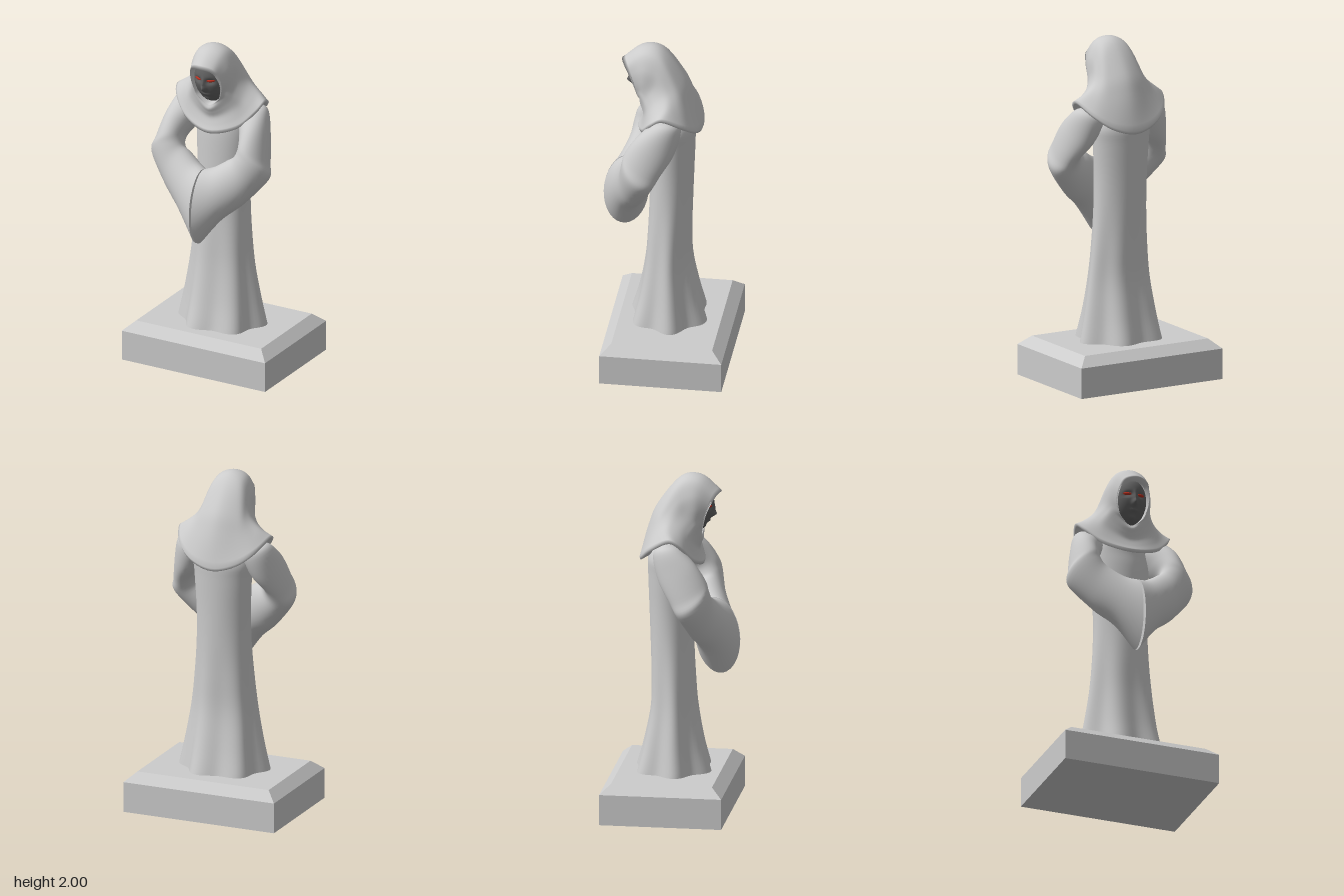
import * as THREE from 'three';

const V = (x, y, z) => new THREE.Vector3(x, y, z);
const grey = new THREE.MeshStandardMaterial({ color: 0xcccccc, side: THREE.DoubleSide });
const dark = new THREE.MeshStandardMaterial({ color: 0x626262 });
const red = new THREE.MeshStandardMaterial({ color: 0xb83020 });

function add(parent, name, geometry, material = grey) {
  const mesh = new THREE.Mesh(geometry, material);
  mesh.name = name;
  parent.add(mesh);
  return mesh;
}

// Resample a list of rings along their length with splines
function smoothAlong(rings, steps) {
  const curves = rings[0].map((_, j) => new THREE.CatmullRomCurve3(rings.map(r => r[j]), false, 'catmullrom'));
  return Array.from({ length: steps + 1 }, (_, i) => curves.map(c => c.getPoint(i / steps)));
}

// Resample each closed ring around its loop
function smoothAround(rings, steps) {
  return rings.map(r => {
    const c = new THREE.CatmullRomCurve3(r, true, 'catmullrom');
    return Array.from({ length: steps }, (_, j) => c.getPoint(j / steps));
  });
}

// Skin closed rings with smooth normals
function loft(rings, flip = false) {
  const n = rings[0].length, index = [];
  for (let i = 0; i < rings.length - 1; i++) {
    for (let j = 0; j < n; j++) {
      const k = (j + 1) % n;
      const a = i * n + j, b = i * n + k, c = b + n, d = a + n;
      if (flip) index.push(a, c, b, a, d, c);
      else index.push(a, b, c, a, c, d);
    }
  }
  const g = new THREE.BufferGeometry().setFromPoints(rings.flat());
  g.setIndex(index);
  g.computeVertexNormals();
  return g;
}

// Plinth: block with a chamfered top
function plinth(group) {
  const base = new THREE.BoxGeometry(0.95, 0.18, 0.71).translate(0, 0.09, 0);
  const top = new THREE.BoxGeometry(0.95, 0.055, 0.71).translate(0, 0.2075, 0);
  const p = top.attributes.position;
  for (let i = 0; i < p.count; i++) {
    if (p.getY(i) > 0.2) p.setXYZ(i, p.getX(i) * 0.872, 0.235, p.getZ(i) * 0.826);
  }
  top.computeVertexNormals();
  add(group, 'plinthBlock', base).position.z = -0.025;
  add(group, 'plinthChamfer', top).position.z = -0.025;
}

// Robe: [height, half width, half depth, centre z, fold strength]
function robe() {
  const rows = [
    [0.23, 0.252, 0.218, -0.012, 0.09], [0.4, 0.223, 0.175, -0.012, 0.07],
    [0.6, 0.194, 0.14, -0.01, 0.05], [0.8, 0.175, 0.13, -0.015, 0.03],
    [1.0, 0.163, 0.126, -0.022, 0.01], [1.2, 0.162, 0.126, -0.028, 0],
    [1.4, 0.172, 0.126, -0.035, 0], [1.5, 0.175, 0.12, -0.04, 0],
    [1.58, 0.14, 0.1, -0.02, 0], [1.66, 0.08, 0.07, 0.01, 0],
  ];
  const rings = rows.map(([y, rx, rz, cz, fold]) => Array.from({ length: 72 }, (_, j) => {
    const a = j / 72 * Math.PI * 2;
    const k = 1 + fold * Math.cos(6 * (a - 2.79));
    return V(rx * k * Math.sin(a), y, cz + rz * k * Math.cos(a));
  }));
  return loft(smoothAlong(rings, 40));
}

// Sleeve: oval sections given by a centre and two half axes
function sleeve(side) {
  const sections = [
    [V(0.17, 1.6, -0.02), V(0.05, 0.02, 0), V(0, 0, 0.05)],
    [V(0.2, 1.56, -0.015), V(0.085, 0.035, 0), V(0, 0.015, 0.09)],
    [V(0.243, 1.46, 0.04), V(0.084, 0.02, 0), V(0, 0.05, 0.11)],
    [V(0.275, 1.36, 0.105), V(0.086, -0.025, 0.005), V(-0.01, 0.06, 0.105)],
    [V(0.275, 1.29, 0.135), V(0.1, -0.05, 0), V(0.0, 0.06, 0.095)],
    [V(0.19, 1.195, 0.165), V(0.055, -0.125, 0), V(0.035, 0.03, 0.09)],
    [V(0.09, 1.115, 0.205), V(0.025, -0.155, -0.01), V(0.03, -0.02, 0.105)],
    [V(0.004, 1.03, 0.24), V(0, -0.215, -0.02), V(0.003, -0.06, 0.13)],
  ];
  const rings = sections.map(([c, u, v]) => Array.from({ length: 32 }, (_, j) => {
    const a = j / 32 * Math.PI * 2;
    return c.clone().addScaledVector(u, Math.cos(a)).addScaledVector(v, Math.sin(a));
  }));
  const skin = smoothAlong(rings, 42);
  // close the cuff with a flat end
  skin.push(skin.at(-1).map(p => p.clone()));
  skin.push(skin.at(-1).map(() => V(0.005, 1.03, 0.24)));
  skin.forEach(r => r.forEach(p => { p.x *= side; }));
  return loft(skin, side < 0);
}

// Hood and cowl: half columns, each running from the face opening to the hem
function hood() {
  const columns = [
    [[0, 1.895, 0.265], [0, 1.985, 0.15], [0, 1.975, 0.03], [0, 1.82, -0.1], [0, 1.69, -0.157], [0, 1.49, -0.21]],
    [[0.065, 1.88, 0.243], [0.075, 1.963, 0.138], [0.085, 1.94, 0.025], [0.11, 1.795, -0.075], [0.125, 1.68, -0.127], [0.14, 1.525, -0.187]],
    [[0.088, 1.835, 0.215], [0.117, 1.89, 0.13], [0.127, 1.865, 0.04], [0.15, 1.775, -0.035], [0.195, 1.69, -0.08], [0.24, 1.595, -0.122]],
    [[0.095, 1.78, 0.19], [0.128, 1.815, 0.13], [0.14, 1.79, 0.06], [0.175, 1.742, 0.01], [0.23, 1.7, -0.015], [0.288, 1.66, -0.005]],
    [[0.087, 1.73, 0.175], [0.118, 1.75, 0.14], [0.142, 1.725, 0.1], [0.178, 1.69, 0.07], [0.222, 1.65, 0.063], [0.262, 1.61, 0.07]],
    [[0.065, 1.68, 0.163], [0.097, 1.69, 0.147], [0.125, 1.66, 0.124], [0.145, 1.62, 0.112], [0.158, 1.565, 0.118], [0.165, 1.52, 0.13]],
    [[0, 1.635, 0.15], [0, 1.612, 0.16], [0, 1.585, 0.15], [0, 1.55, 0.14], [0, 1.51, 0.152], [0, 1.478, 0.168]],
  ];
  const rings = columns[0].map((_, i) => {
    const half = columns.map(c => V(...c[i]));
    const mirrored = half.slice(1, -1).reverse().map(p => V(-p.x, p.y, p.z));
    return [...half, ...mirrored];
  });
  const skin = smoothAround(smoothAlong(rings, 28), 72);
  // thickness at the opening and a turned-under hem
  skin.unshift(skin[0].map(p => V(p.x * 0.9, 1.77 + (p.y - 1.77) * 0.93, p.z - 0.05)));
  const hem = skin.at(-1);
  skin.push(hem.map(p => V(p.x * 0.97, p.y - 0.018, p.z * 0.97)));
  skin.push(hem.map(p => V(p.x * 0.72, p.y + 0.01, p.z * 0.7)));
  return loft(skin);
}

// Depth of the face surface, with nose, eye sockets, lips and chin
function faceZ(x, y) {
  const g = (cx, cy, w, h) => Math.exp(-(((x - cx) / w) ** 2) - (((y - cy) / h) ** 2));
  const round = Math.sqrt(Math.max(0, 1 - (x / 0.1) ** 2 - ((y - 1.78) / 0.14) ** 2));
  const nose = 0.012 * g(0, 1.79, 0.012, 0.03) + 0.024 * g(0, 1.755, 0.015, 0.018);
  const sockets = 0.014 * (g(0.04, 1.805, 0.026, 0.016) + g(-0.04, 1.805, 0.026, 0.016));
  const mouth = 0.009 * g(0, 1.715, 0.025, 0.008) + 0.01 * g(0, 1.675, 0.025, 0.014);
  return 0.115 + 0.1 * round + 0.22 * (y - 1.78) + nose - sockets + mouth;
}

function head(group) {
  const g = new THREE.SphereGeometry(1, 64, 64).rotateX(Math.PI / 2).scale(0.1, 0.14, 0.1).translate(0, 1.78, 0.115);
  const p = g.attributes.position;
  for (let i = 0; i < p.count; i++) {
    const x = p.getX(i), y = p.getY(i), z = p.getZ(i);
    p.setZ(i, z > 0.115 ? faceZ(x, y) : z + 0.22 * (y - 1.78));
  }
  g.computeVertexNormals();
  add(group, 'face', g, dark);
  for (const side of [1, -1]) {
    const eye = add(group, side > 0 ? 'leftEye' : 'rightEye', new THREE.SphereGeometry(1, 20, 12), red);
    eye.scale.set(0.027, 0.009, 0.011);
    eye.position.set(side * 0.041, 1.81, faceZ(0.041, 1.81));
    eye.rotation.set(0, side * 0.45, side * 0.08);
  }
}

export function createModel() {
  const group = new THREE.Group();
  group.name = 'hoodedStatue';
  plinth(group);
  add(group, 'robe', robe());
  add(group, 'leftSleeve', sleeve(1));
  add(group, 'rightSleeve', sleeve(-1));
  add(group, 'hood', hood());
  head(group);
  return group;
}
